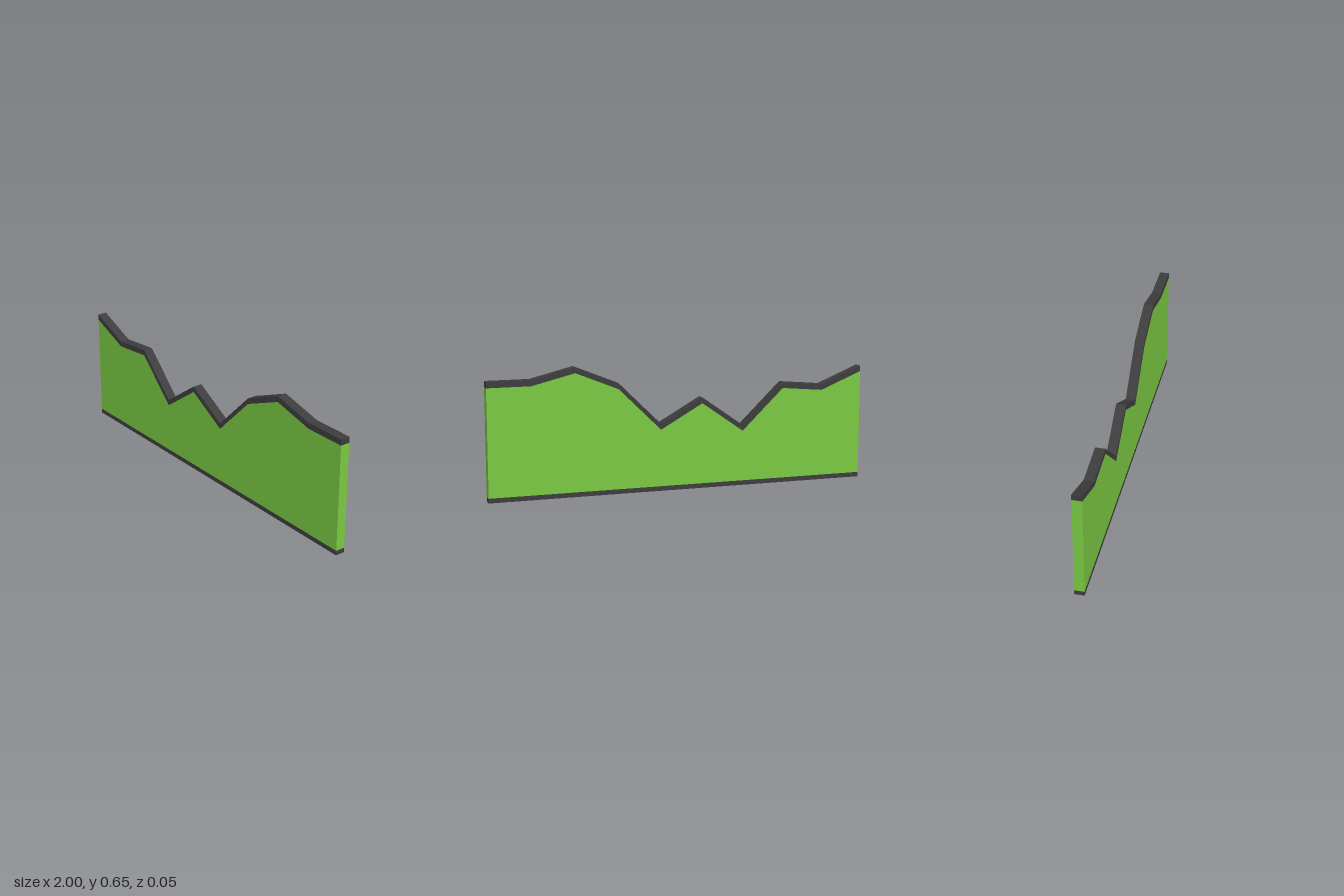
import * as THREE from 'three';

const DEPTH = 0.05, BASE = 0.024, CAP = 0.03;
// Heights of the ridge line at evenly spaced x, from -1 to 1
const RIDGE = [0.6, 0.51, 0.53, 0.317, 0.472, 0.347, 0.565, 0.655, 0.6, 0.6];

// Slab between a lower and an upper outline, both running from -x to +x
function slab(name, lower, upper, color) {
  const shape = new THREE.Shape([...lower, ...upper.slice().reverse()]);
  const geometry = new THREE.ExtrudeGeometry(shape, { depth: DEPTH, bevelEnabled: false });
  geometry.translate(0, 0, -DEPTH / 2);
  const mesh = new THREE.Mesh(geometry, new THREE.MeshStandardMaterial({ color }));
  mesh.name = name;
  return mesh;
}

export function createModel() {
  const group = new THREE.Group();
  group.name = 'ridgePanel';

  const flat = (y) => [new THREE.Vector2(-1, y), new THREE.Vector2(1, y)];
  const ridge = (drop) => RIDGE.map((y, i) =>
    new THREE.Vector2(-1 + (2 * i) / (RIDGE.length - 1), y - drop));

  // Dark strip, green panel and dark cap following the ridge
  group.add(slab('baseStrip', flat(0), flat(BASE), 0x3d3d3d));
  group.add(slab('panel', flat(BASE), ridge(CAP), 0x7ac943));
  group.add(slab('ridgeCap', ridge(CAP), ridge(0), 0x3d3d3d));
  return group;
}
